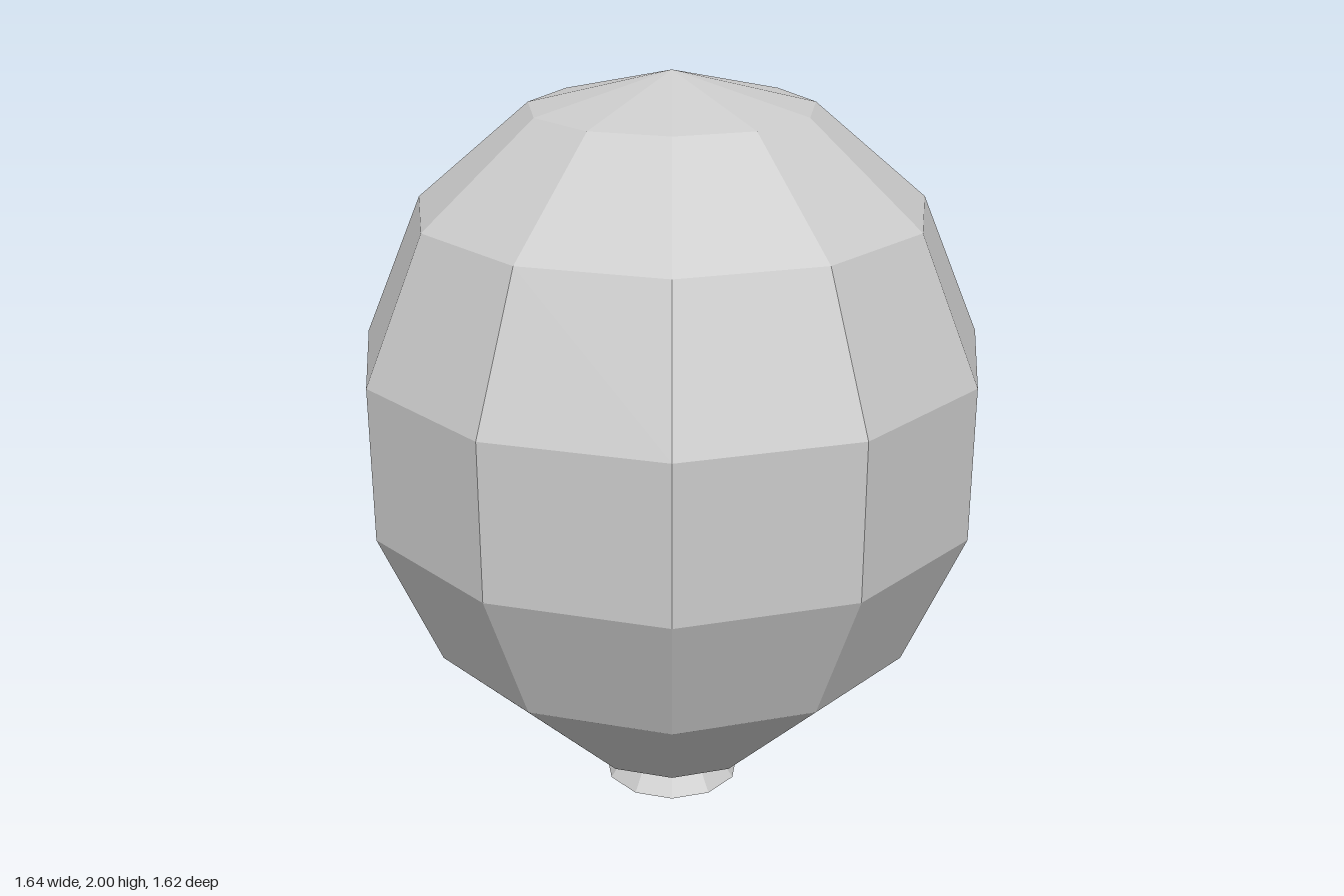
import * as THREE from 'three';

const SIDES = 11;

export function createModel() {
  const model = new THREE.Group();
  const material = new THREE.MeshStandardMaterial({ color: 0xcccccc, flatShading: true });

  // Faceted solid of revolution from [radius, y] pairs, listed bottom to top
  const addTurned = (name, profile) => {
    const points = profile.map(([r, y]) => new THREE.Vector2(r, y));
    const mesh = new THREE.Mesh(new THREE.LatheGeometry(points, SIDES), material);
    mesh.name = name;
    mesh.position.z = -0.017; // odd side count: one corner points to the front
    model.add(mesh);
  };

  // Balloon body with a flat underside and a pointed crown
  addTurned('balloonBody', [
    [0, 0.13], [0.288, 0.13], [0.667, 0.495], [0.827, 0.87],
    [0.827, 1.28], [0.667, 1.655], [0.369, 1.91], [0, 2],
  ]);

  // Flared knot below the body
  addTurned('knot', [[0, 0], [0.19, 0], [0.1, 0.13]]);

  return model;
}
